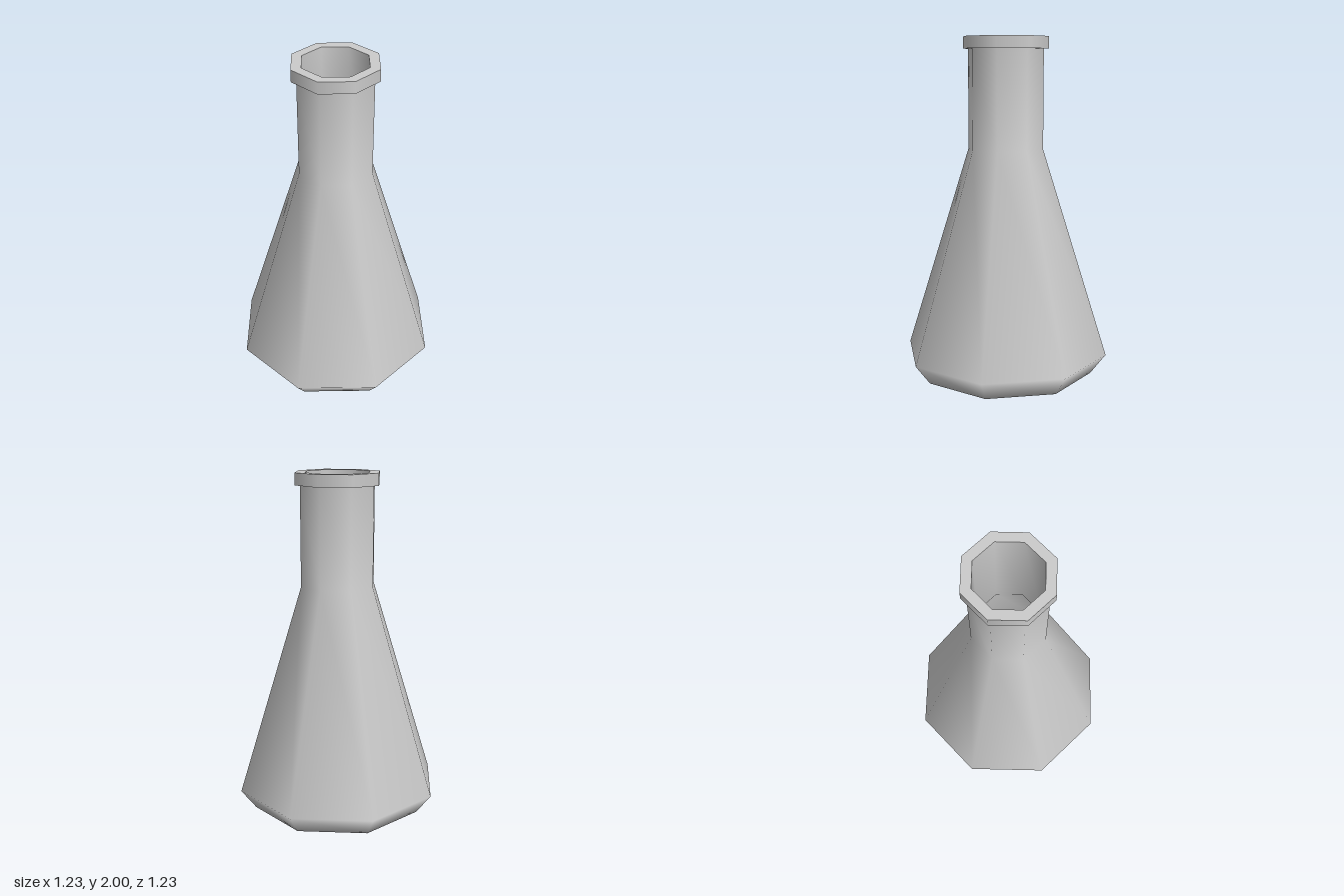
import * as THREE from 'three';

const SIDES = 8;

export function createModel() {
  const group = new THREE.Group();
  group.name = 'conicalFlask';
  const material = new THREE.MeshStandardMaterial({ color: 0xcccccc });

  // Octagonal turned surface; smooth along its profile of [radius, height] points
  function turned(name, profile) {
    const points = profile.map(([r, y]) => new THREE.Vector2(r, y));
    const mesh = new THREE.Mesh(new THREE.LatheGeometry(points, SIDES), material);
    mesh.name = name;
    group.add(mesh);
  }

  // Outer shell: base, bevelled foot, cone and neck
  turned('body', [[0, 0], [0.525, 0], [0.615, 0.12], [0.225, 1.35], [0.225, 1.93]]);

  // Rim: separate faces keep its edges sharp
  turned('rimUnderside', [[0.225, 1.93], [0.255, 1.93]]);
  turned('rimSide', [[0.255, 1.93], [0.255, 2]]);
  turned('rimTop', [[0.255, 2], [0.195, 2]]);

  // Hollow inside
  turned('innerWall', [[0.195, 2], [0.195, 1.35], [0.58, 0.13], [0.51, 0.03]]);
  turned('innerFloor', [[0.51, 0.03], [0, 0.03]]);

  return group;
}
